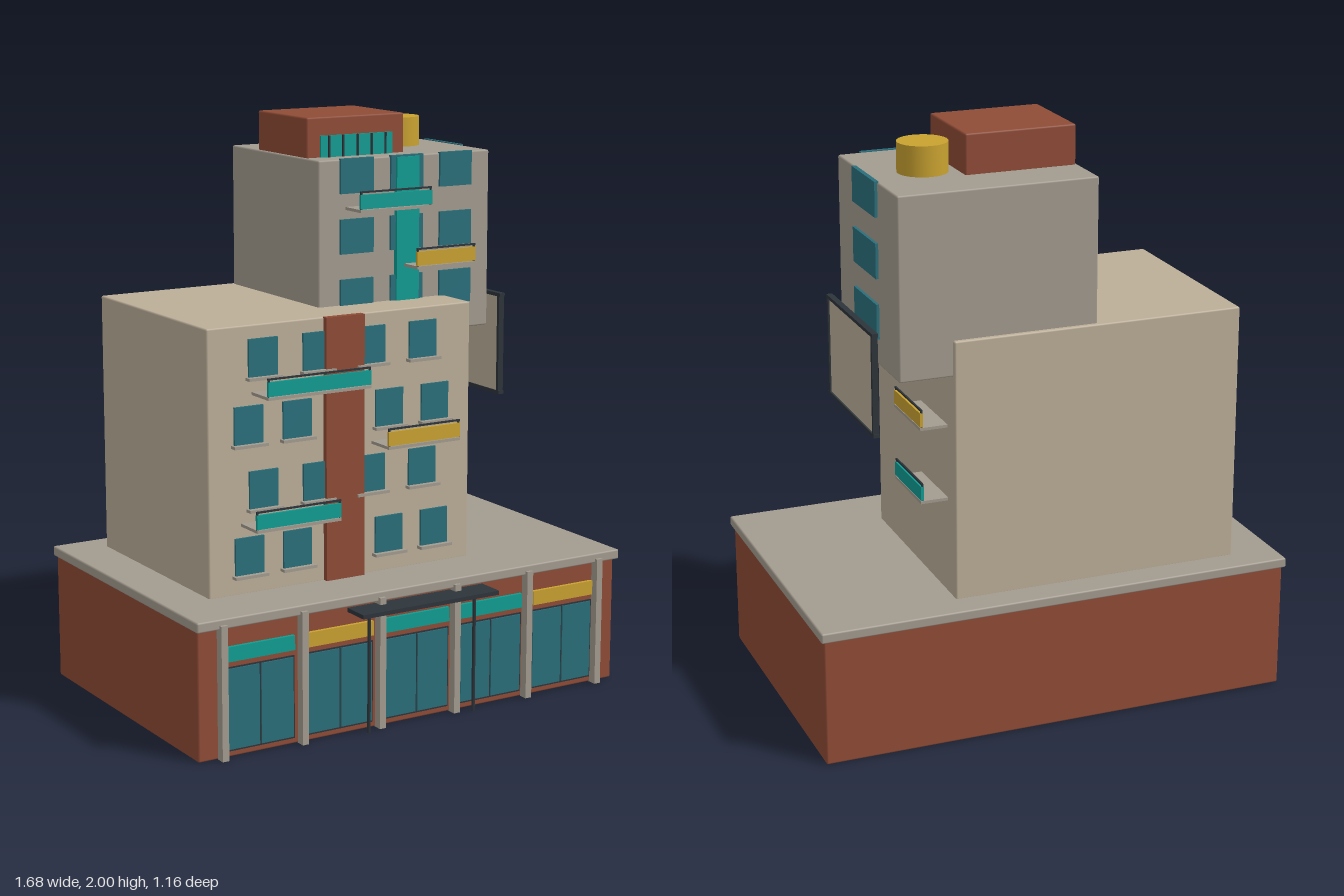
import * as THREE from 'three';
import { RoundedBoxGeometry } from 'three/addons/geometries/RoundedBoxGeometry.js';

const mat = (color) => new THREE.MeshStandardMaterial({ color });
const M = {
  brick: mat(0x8f4b36), beige: mat(0xbcae98), stone: mat(0xa39b8f), glass: mat(0x2a6f7b),
  teal: mat(0x109c92), gold: mat(0xc9a230), dark: mat(0x2d343a),
};

export function createModel() {
  const root = new THREE.Group();

  const add = (parent, name, geometry, material, x, y, z) => {
    const mesh = new THREE.Mesh(geometry, material);
    mesh.name = name;
    mesh.position.set(x, y, z);
    parent.add(mesh);
    return mesh;
  };
  // Box given by its extents along each axis
  const box = (parent, name, m, x0, x1, y0, y1, z0, z1, bevel = 0) => {
    const s = [x1 - x0, y1 - y0, z1 - z0];
    const g = bevel ? new RoundedBoxGeometry(...s, 1, bevel) : new THREE.BoxGeometry(...s);
    return add(parent, name, g, m, (x0 + x1) / 2, (y0 + y1) / 2, (z0 + z1) / 2);
  };
  const group = (name) => {
    const g = new THREE.Group();
    g.name = name;
    root.add(g);
    return g;
  };

  // Balcony hung on a wall in local z, running along local x
  const balcony = (x0, x1, y, m, depth = 0.11) => {
    const g = group('balcony');
    box(g, 'balconyFloor', M.stone, x0, x1, y, y + 0.01, 0, depth);
    box(g, 'balconyPanel', m, x0, x1, y + 0.012, y + 0.06, depth - 0.01, depth);
    box(g, 'balconyRail', M.dark, x0, x1, y + 0.066, y + 0.072, depth - 0.008, depth - 0.002);
    for (const x of [x0 + 0.004, x1 - 0.004]) {
      box(g, 'railPost', M.dark, x - 0.003, x + 0.003, y + 0.01, y + 0.07, depth - 0.009, depth - 0.003);
    }
    return g;
  };

  // Shop podium with overhanging roof slab
  const podium = group('podium');
  box(podium, 'podiumWalls', M.brick, -0.83, 0.83, 0, 0.445, -0.57, 0.48, 0.006);
  box(podium, 'podiumRoof', M.stone, -0.84, 0.84, 0.44, 0.475, -0.58, 0.5, 0.006);

  // Shopfront bays between pilasters
  const signs = [M.teal, M.gold, M.teal, M.teal, M.gold];
  signs.forEach((m, i) => {
    const x = (i - 2) * 0.302;
    box(podium, 'shopFrame', M.dark, x - 0.13, x + 0.13, 0.02, 0.305, 0.475, 0.483);
    for (const s of [-1, 1]) {
      const c = x + s * 0.0635;
      box(podium, 'shopWindow', M.glass, c - 0.06, c + 0.06, 0.027, 0.3, 0.475, 0.488);
    }
    box(podium, 'shopSign', m, x - 0.127, x + 0.127, 0.325, 0.375, 0.475, 0.493);
  });
  for (let i = 0; i < 6; i++) {
    const x = (i - 2.5) * 0.299;
    box(podium, 'pilaster', M.stone, x - 0.012, x + 0.012, 0, 0.455, 0.478, 0.512);
  }

  // Entrance canopy on two slim posts
  const canopy = group('entranceCanopy');
  box(canopy, 'canopyRoof', M.dark, -0.27, 0.27, 0.418, 0.432, 0.48, 0.58);
  for (const x of [-0.21, 0.21]) {
    add(canopy, 'canopyPost', new THREE.CylinderGeometry(0.006, 0.006, 0.42, 8), M.dark, x, 0.21, 0.52);
  }

  // Middle apartment block
  const middle = group('middleBlock');
  box(middle, 'middleWalls', M.beige, -0.68, 0.34, 0.47, 1.372, -0.48, 0.285, 0.006);
  box(middle, 'brickStrip', M.brick, -0.243, -0.095, 0.475, 1.372, 0.28, 0.305);
  const columns = [[-0.53, -0.347, 0.012, 0.195], [-0.475, -0.27, -0.06, 0.145]];
  for (let row = 0; row < 4; row++) {
    const y = 0.54 + row * 0.22;
    for (const x of columns[row % 2]) {
      box(middle, 'window', M.glass, x - 0.054, x + 0.054, y, y + 0.126, 0.28, 0.293);
      box(middle, 'windowSill', M.stone, x - 0.063, x + 0.063, y - 0.01, y, 0.28, 0.311);
    }
  }
  for (const [x0, x1, y, m] of [
    [-0.515, -0.125, 1.14, M.teal], [-0.055, 0.23, 0.922, M.gold], [-0.56, -0.24, 0.705, M.teal],
  ]) balcony(x0, x1, y, m).position.z = 0.285;

  // Balconies on the left wall
  for (const [y, m] of [[1.058, M.gold], [0.802, M.teal]]) {
    const b = balcony(0.155, 0.41, y, m, 0.097);
    b.rotation.y = Math.PI / 2;
    b.position.x = 0.338;
  }

  // Upper block, offset and overhanging
  const upper = group('upperBlock');
  box(upper, 'upperWalls', M.stone, -0.165, 0.523, 1.25, 1.865, -0.465, 0.125, 0.006);
  box(upper, 'tealStrip', M.teal, 0.135, 0.225, 1.26, 1.862, 0.12, 0.142);
  for (let row = 0; row < 3; row++) {
    const y = 1.342 + row * 0.204;
    for (const x of [-0.018, 0.181, 0.38]) {
      box(upper, 'window', M.glass, x - 0.065, x + 0.065, y, y + 0.118, 0.12, 0.134);
    }
    box(upper, 'sideWindow', M.glass, 0.518, 0.533, y, y + 0.118, -0.277, -0.05);
  }
  balcony(-0.06, 0.223, 1.695, M.teal, 0.1).position.z = 0.125;
  balcony(0.165, 0.403, 1.488, M.gold, 0.1).position.z = 0.125;

  // Blank side billboard with dark frame
  const board = group('billboard');
  box(board, 'boardPanel', M.beige, 0.538, 0.55, 1.015, 1.362, -0.285, 0.175);
  for (const y of [1.015, 1.362]) {
    box(board, 'frameBar', M.dark, 0.535, 0.556, y - 0.006, y + 0.006, -0.295, 0.185);
  }
  for (const z of [-0.285, 0.175]) {
    box(board, 'framePost', M.dark, 0.535, 0.556, 1.01, 1.367, z - 0.006, z + 0.006);
  }

  // Rooftop room with glazed band
  const roofRoom = group('roofRoom');
  box(roofRoom, 'roofRoomWalls', M.brick, -0.157, 0.229, 1.86, 2, -0.293, 0.036, 0.006);
  box(roofRoom, 'glazedBand', M.teal, -0.106, 0.178, 1.865, 1.938, 0.03, 0.044);
  for (let i = 0; i < 5; i++) {
    const x = 0.036 + (i - 2) * 0.056;
    box(roofRoom, 'mullion', M.dark, x - 0.003, x + 0.003, 1.865, 1.938, 0.03, 0.05);
  }

  // Water tank
  add(root, 'waterTank', new THREE.CylinderGeometry(0.085, 0.085, 0.107, 24), M.gold, 0.338, 1.913, -0.19);

  return root;
}
